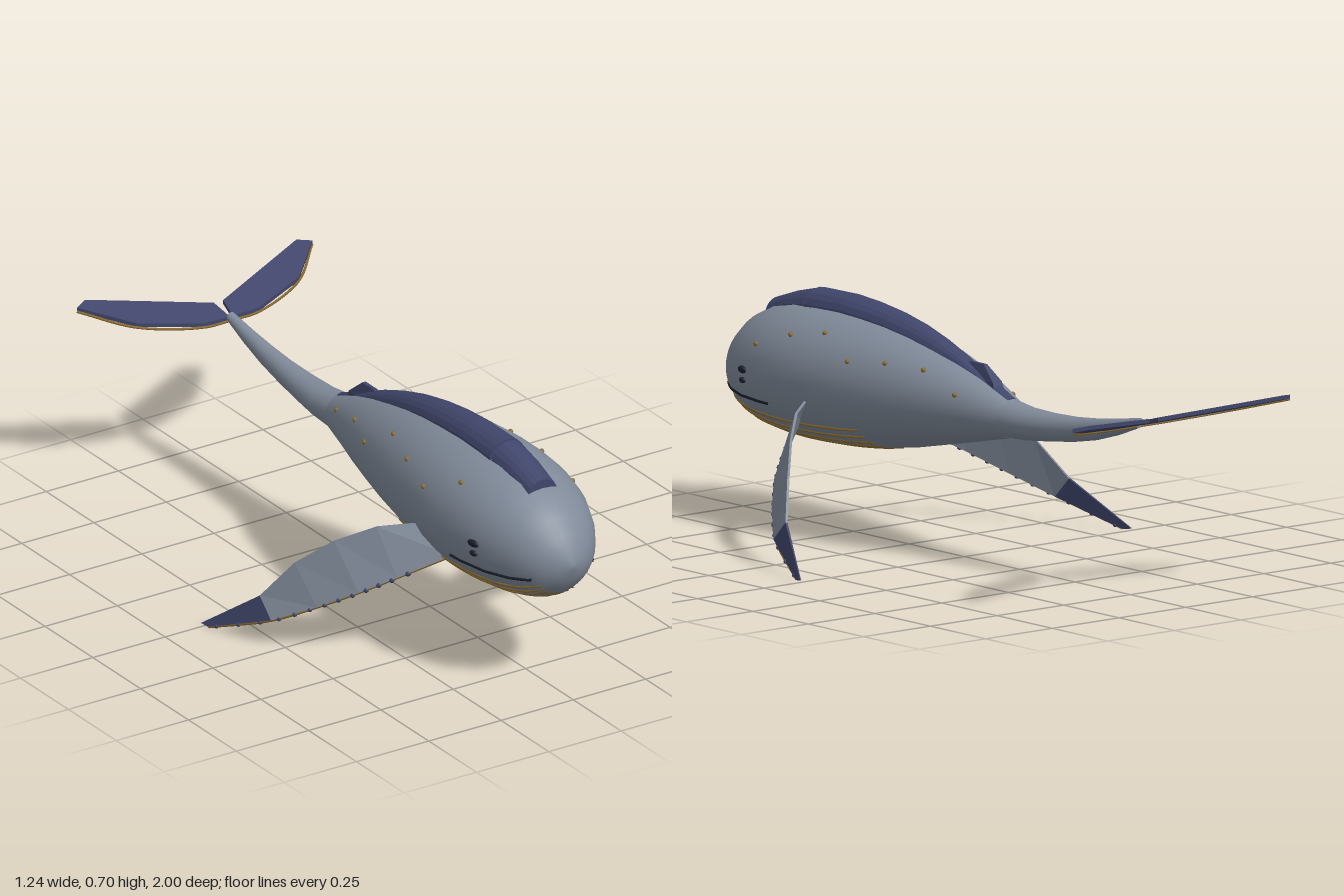
import * as THREE from 'three';

const V = (x, y, z) => new THREE.Vector3(x, y, z);
const paint = (name, color) => {
  const m = new THREE.MeshStandardMaterial({ color });
  m.name = name;
  return m;
};

// Skin a list of closed rings; caps both ends and keeps faces outward.
function loft(rings, smooth) {
  const n = rings[0].length, pos = [], idx = [];
  rings.forEach(r => r.forEach(p => pos.push(p.x, p.y, p.z)));
  for (let i = 0; i < rings.length - 1; i++) {
    for (let j = 0; j < n; j++) {
      const a = i * n + j, b = i * n + (j + 1) % n;
      idx.push(a, a + n, b + n, a, b + n, b);
    }
  }
  [0, rings.length - 1].forEach((k, end) => {
    const base = pos.length / 3;
    rings[k].forEach(p => pos.push(p.x, p.y, p.z));
    for (let j = 1; j < n - 1; j++) {
      if (end) idx.push(base, base + j + 1, base + j);
      else idx.push(base, base + j, base + j + 1);
    }
  });
  const p = i => V(pos[i * 3], pos[i * 3 + 1], pos[i * 3 + 2]);
  let volume = 0;
  for (let i = 0; i < idx.length; i += 3) volume += p(idx[i]).dot(p(idx[i + 1]).cross(p(idx[i + 2])));
  if (volume < 0) idx.reverse();
  let g = new THREE.BufferGeometry();
  g.setAttribute('position', new THREE.Float32BufferAttribute(pos, 3));
  g.setIndex(idx);
  if (!smooth) g = g.toNonIndexed();
  g.computeVertexNormals();
  return g;
}

// Sections: z, top, bottom, half width
const BODY = [
  [1, .435, .425, .004], [.99, .475, .385, .045], [.965, .52, .345, .088], [.93, .562, .317, .123],
  [.88, .6, .294, .155], [.8, .635, .275, .188], [.7, .656, .265, .208], [.6, .662, .262, .215],
  [.5, .664, .264, .212], [.4, .659, .27, .201], [.3, .649, .281, .186], [.2, .632, .296, .167],
  [.1, .608, .317, .145], [0, .58, .338, .12], [-.1, .546, .36, .09], [-.22, .497, .385, .055]];
const TAIL = [
  [-.2, .5, .385, .059], [-.3, .487, .39, .053], [-.4, .486, .402, .045], [-.5, .49, .416, .036],
  [-.6, .5, .436, .029], [-.7, .514, .466, .022], [-.79, .53, .5, .015]];

const ring = ([z, top, bottom, w], n = 32) => Array.from({ length: n }, (_, j) => {
  const a = j / n * Math.PI * 2;
  return V(w * Math.cos(a), (top + bottom) / 2 + (top - bottom) / 2 * Math.sin(a), z);
});
function section(z) {
  let i = 0;
  while (i < BODY.length - 2 && BODY[i + 1][0] > z) i++;
  const t = (z - BODY[i][0]) / (BODY[i + 1][0] - BODY[i][0]);
  const [top, bottom, w] = [1, 2, 3].map(k => BODY[i][k] + (BODY[i + 1][k] - BODY[i][k]) * t);
  return { cy: (top + bottom) / 2, h: (top - bottom) / 2, w };
}
const onSkin = (z, a) => {
  const s = section(z);
  return V(s.w * Math.cos(a), s.cy + s.h * Math.sin(a), z);
};

export function createModel() {
  const model = new THREE.Group();
  const skin = paint('slate grey skin', 0x808a99), navy = paint('navy', 0x40466b);
  const gold = paint('dull gold', 0x8b6b2e), dark = paint('eye black', 0x1c1f2e);
  const add = (name, geometry, material, at) => {
    const m = new THREE.Mesh(geometry, material);
    m.name = name;
    if (at) m.position.copy(at);
    model.add(m);
    return m;
  };
  const tube = (name, points, radius, material, steps = 24) =>
    add(name, new THREE.TubeGeometry(new THREE.CatmullRomCurve3(points), steps, radius, 5), material);
  const skinPath = (z0, z1, a) => Array.from({ length: 15 }, (_, i) => onSkin(z0 + (z1 - z0) * i / 14, a));

  add('body', loft(BODY.map(r => ring(r)), true), skin);
  add('tailStem', loft(TAIL.map(r => ring(r, 20)), true), skin);

  // Raised arched plates along the back: z, top, half width
  const arch = ([z, top, w]) => {
    const s = section(z), base = s.cy + s.h * Math.sqrt(Math.max(0, 1 - (w / s.w) ** 2)) - .012;
    return Array.from({ length: 11 }, (_, j) => {
      const a = j / 10 * Math.PI;
      return V(w * Math.cos(a), base + (top - base) * Math.sin(a), z);
    });
  };
  add('frontBackPlate', loft([[.84, .645, .05], [.75, .675, .056], [.66, .697, .061]].map(arch)), navy);
  add('backPlate', loft([[.655, .7, .063], [.5, .702, .061], [.4, .695, .059], [.3, .682, .055], [.2, .662, .049],
    [.1, .633, .042], [0, .596, .034], [-.05, .573, .03], [-.1, .552, .027], [-.215, .503, .021]].map(arch)), navy);

  // Small dorsal fin
  const finRow = (y, z0, z1, w) => [V(w, y, z0), V(-w, y, z0), V(-w, y, z1), V(w, y, z1)];
  add('dorsalFin', loft([finRow(.5, 0, -.165, .02), finRow(.54, -.01, -.148, .017),
    finRow(.584, -.03, -.095, .006)]), navy);

  // Throat grooves
  for (let k = -5; k <= 5; k++) {
    tube('throatGroove', skinPath(.95, .27 + Math.abs(k) * .008, -Math.PI / 2 + k * .175), .004, gold);
  }

  // Leading and trailing edge points of the pectoral fin, root to tip
  const FIN = [
    [[.14, .335, .58], [.17, .42, .5]], [[.27, .263, .49], [.29, .4, .41]],
    [[.357, .21, .42], [.38, .345, .325]], [[.44, .15, .33], [.46, .262, .24]],
    [[.525, .086, .22], [.53, .145, .165]], [[.612, .008, .02], [.62, .012, -.008]]];

  for (const side of [1, -1]) {
    const label = side > 0 ? 'left' : 'right';
    const S = (x, y, z) => V(side * x, y, z);
    const lead = FIN.map(f => S(...f[0])), trail = FIN.map(f => S(...f[1]));

    // Pectoral fin with coloured tip
    const rings = FIN.map((_, i) => {
      const span = lead[Math.min(i + 1, 5)].clone().sub(lead[Math.max(i - 1, 0)]);
      const n = trail[i].clone().sub(lead[i]).cross(span).normalize().multiplyScalar(i === 5 ? .003 : .007);
      const at = (p, k) => p.clone().addScaledVector(n, k);
      return [at(lead[i], 1), at(trail[i], .5), at(trail[i], -.5), at(lead[i], -1)];
    });
    add(label + 'PectoralFin', loft(rings.slice(0, 5)), skin);
    add(label + 'PectoralFinTip', loft(rings.slice(4)), navy);
    tube(label + 'FinEdge', lead, .004, gold);

    // Knobs along the leading edge
    const edge = new THREE.CatmullRomCurve3(lead);
    for (let i = 0; i < 13; i++) {
      add(label + 'FinKnob', new THREE.SphereGeometry(.009 - i * .0002, 8, 6), navy, edge.getPoint(.16 + i * .068));
    }

    // Tail fluke
    const FLUKE = [[.005, -.787], [.095, -.79], [.28, -.86], [.407, -.98], [.365, -1], [.016, -.855]];
    const sheet = d => FLUKE.map(([x, z]) => S(x, .512 + (-.79 - z) * .3 + d, z));
    add(label + 'Fluke', loft([sheet(.007), sheet(-.005)]), navy);
    tube(label + 'FlukeEdge', sheet(-.006).slice(0, 4), .004, gold);

    // Eye, the spot below it and the mouth line
    const turn = a => (side > 0 ? a : Math.PI - a);
    [[.77, .04, .022, .011], [.77, -.13, .015, .009]].forEach(([z, a, len, tall], i) => {
      const eye = add(label + (i ? 'LowerEyeMark' : 'Eye'), new THREE.SphereGeometry(1, 14, 10), dark, onSkin(z, turn(a)));
      eye.scale.set(.009, tall, len);
      eye.rotation.y = side * -.2;
    });
    tube(label + 'Mouth', skinPath(.94, .65, turn(-.42)), .005, dark);
  }

  // Scattered gold spots: z and height on the left, z and distance out on the right
  const spot = p => add('skinSpot', new THREE.SphereGeometry(.008, 8, 6), gold, p);
  [[.72, .545], [.585, .59], [.46, .61], [.325, .55], [.195, .56], [.065, .555], [-.065, .5]].forEach(([z, y]) => {
    const s = section(z);
    spot(onSkin(z, Math.asin((y - s.cy) / s.h)));
  });
  [[.645, .153], [.51, .195], [.38, .165], [.25, .125], [.12, .14], [.01, .1], [-.14, .065]].forEach(([z, x]) => {
    spot(onSkin(z, Math.PI - Math.acos(Math.min(1, x / section(z).w))));
  });
  return model;
}
